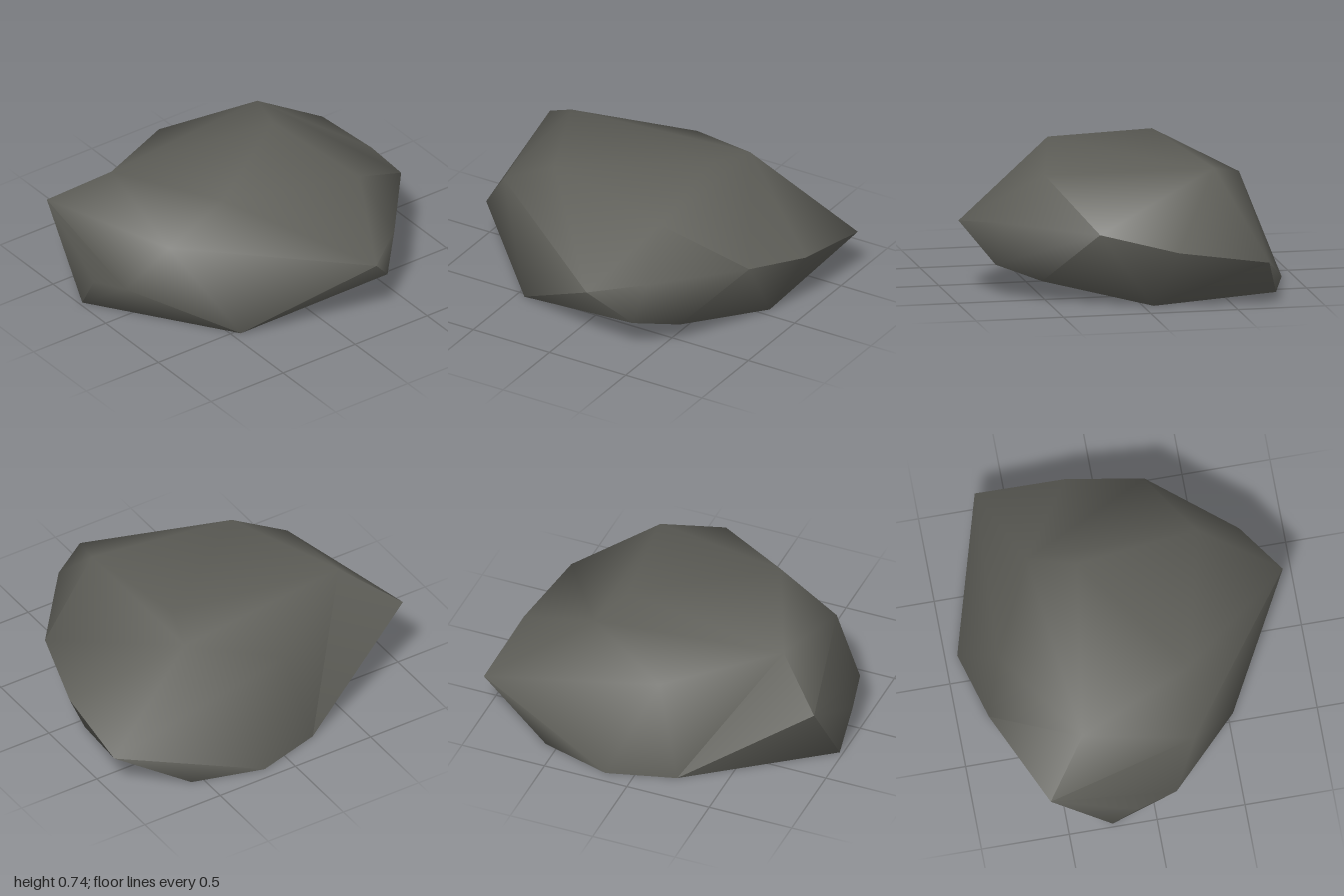
import * as THREE from 'three';
import { ConvexGeometry } from 'three/addons/geometries/ConvexGeometry.js';
import { toCreasedNormals } from 'three/addons/utils/BufferGeometryUtils.js';

const v = (x, y, z) => new THREE.Vector3(x, y, z);

// Corners around the hollow in the front right flank
const noseTip = v(-0.6, 0.5, 0.97);
const noseTop = v(-0.37, 0.7, 0.69);
const sideTop = v(-0.74, 0.56, 0.09);
const sideFoot = v(-0.93, 0, -0.16);
const hollowFoot = v(-0.82, 0, 0.23);

// All corners of the boulder, from the ground up
const corners = [
  // ground
  v(-0.25, 0, 0.98), hollowFoot, sideFoot, v(-0.81, 0, -0.57), v(-0.06, 0, -0.8), v(0.53, 0, 0.45),
  // flank
  v(-0.11, 0.22, 1.0), v(0.12, 0.27, 0.95), v(0.76, 0.19, -0.4), v(0.53, 0.12, -0.57),
  v(-0.68, 0.26, -1.0), v(-0.17, 0.33, -0.97),
  // shoulder
  noseTip, v(0.26, 0.54, 0.75), v(0.93, 0.41, -0.2), v(0.73, 0.44, -0.47),
  v(0.26, 0.43, -0.86), sideTop,
  // crown
  noseTop, v(0.29, 0.74, 0.4), v(0.48, 0.69, -0.41), v(-0.22, 0.72, -0.32), v(-0.49, 0.69, -0.41),
];

// Triangles of the convex hull, as triples of the corners above
function hullTriangles() {
  const position = new ConvexGeometry(corners).getAttribute('position');
  const triangles = [];
  for (let i = 0; i < position.count; i += 3) {
    triangles.push([0, 1, 2].map((k) => {
      const p = v().fromBufferAttribute(position, i + k);
      return corners.find((c) => c.distanceTo(p) < 0.001);
    }));
  }
  return triangles;
}

// Swap the ridge a-b for the other diagonal of its two triangles, making a valley
function flipRidge(triangles, a, b) {
  const pair = triangles.filter((t) => t.includes(a) && t.includes(b));
  if (pair.length !== 2) return triangles;
  const runsForward = (t) => t[(t.indexOf(a) + 1) % 3] === b;
  const apex = (t) => t.find((p) => p !== a && p !== b);
  const c = apex(pair.find(runsForward));
  const d = apex(pair.find((t) => !runsForward(t)));
  return [...triangles.filter((t) => !pair.includes(t)), [a, d, c], [d, b, c]];
}

export function createModel() {
  const group = new THREE.Group();
  group.name = 'boulder';

  const stone = new THREE.MeshStandardMaterial({ color: 0x5e5e58 });
  stone.name = 'dark grey stone';

  // Hull with a hollow running from the top of the nose down to the ground
  let triangles = hullTriangles();
  for (const [a, b] of [[sideTop, noseTip], [noseTip, sideFoot], [noseTop, sideFoot]]) {
    triangles = flipRidge(triangles, a, b);
  }

  // Soft shading, sharp only at the steepest edges
  const surface = new THREE.BufferGeometry().setFromPoints(triangles.flat());
  const rock = new THREE.Mesh(toCreasedNormals(surface, 1.35), stone);
  rock.name = 'rockBody';
  group.add(rock);
  return group;
}
